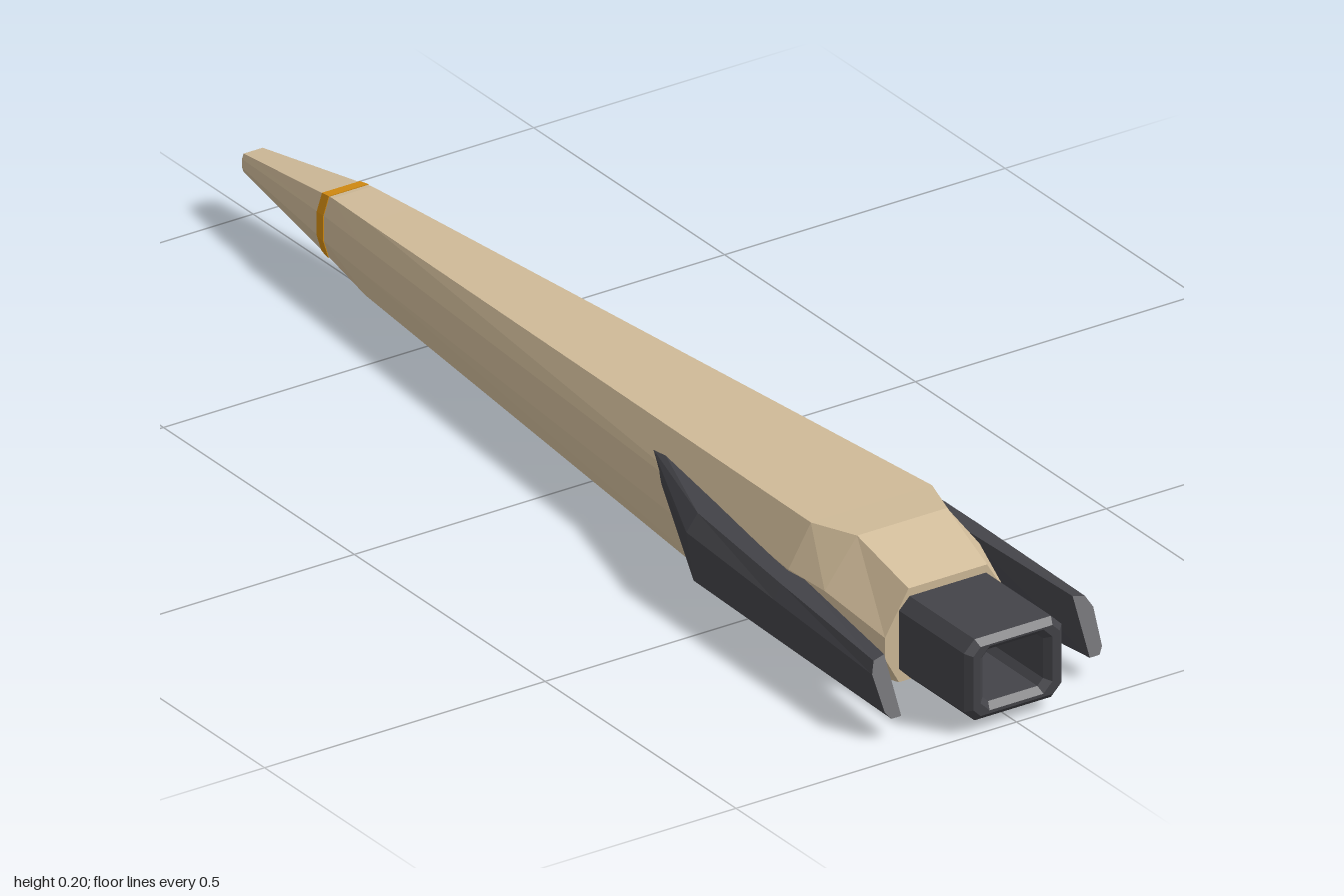
import * as THREE from 'three';

const tan = new THREE.MeshStandardMaterial({ color: 0xd0bb99 });
tan.name = 'sand hull';
const dark = new THREE.MeshStandardMaterial({ color: 0x434348 });
dark.name = 'dark metal';
const orange = new THREE.MeshStandardMaterial({ color: 0xd48c12 });
orange.name = 'orange band';

// Faceted loft through sections, each anticlockwise seen from +z, ordered by rising z
function loft(sections, caps = true) {
  const pos = [];
  const tri = (a, b, c) => pos.push(...a, ...b, ...c);
  const n = sections[0].length;
  for (let i = 0; i < sections.length - 1; i++) {
    const s = sections[i], t = sections[i + 1];
    for (let j = 0; j < n; j++) {
      const k = (j + 1) % n;
      tri(s[j], s[k], t[k]);
      tri(s[j], t[k], t[j]);
    }
  }
  if (caps) {
    const first = sections[0], last = sections[sections.length - 1];
    for (let j = 1; j < n - 1; j++) {
      tri(first[0], first[j + 1], first[j]);
      tri(last[0], last[j], last[j + 1]);
    }
  }
  const g = new THREE.BufferGeometry();
  g.setAttribute('position', new THREE.Float32BufferAttribute(pos, 3));
  g.computeVertexNormals();
  return g;
}

// Eight-sided hull section: top, side and bottom half widths with their heights
function hullSection([z, top, yTop, side, yUpper, yLower, bottom, yBottom]) {
  const half = [[bottom, yBottom], [side, yLower], [side, yUpper], [top, yTop]];
  return [
    ...half.map(([x, y]) => [x, y, z]),
    ...half.slice().reverse().map(([x, y]) => [-x, y, z]),
  ];
}

// Fin section: inner and outer x, top and bottom y, z shifted toward the bottom by lean
function finSection([z, xi, xo, yt, yb, lean], mirror) {
  const w = xo - xi, h = yt - yb;
  const pts = [
    [xi, yb], [xo - w * 0.4, yb], [xo - w * 0.12, yb + h * 0.12],
    [xo, yt - h * 0.25], [xo - w * 0.3, yt - h * 0.05], [xi, yt],
  ].map(([x, y]) => [mirror ? -x : x, y, z + lean * (yt - y) / h]);
  return mirror ? pts.reverse() : pts;
}

// Rectangle with cut corners
function cutRect(path, hw, y0, y1, c) {
  path.moveTo(-hw + c, y0);
  path.lineTo(hw - c, y0);
  path.lineTo(hw, y0 + c);
  path.lineTo(hw, y1 - c);
  path.lineTo(hw - c, y1);
  path.lineTo(-hw + c, y1);
  path.lineTo(-hw, y1 - c);
  path.lineTo(-hw, y0 + c);
  path.closePath();
  return path;
}

export function createModel() {
  const model = new THREE.Group();
  const add = (name, geometry, material) => {
    const mesh = new THREE.Mesh(geometry, material);
    mesh.name = name;
    model.add(mesh);
  };

  // Long tapered hull
  const stations = [
    [-1, 0.017, 0.105, 0.02, 0.097, 0.083, 0.017, 0.075],
    [-0.74, 0.035, 0.145, 0.045, 0.115, 0.073, 0.036, 0.043],
    [-0.64, 0.041, 0.149, 0.053, 0.117, 0.072, 0.045, 0.03],
    [0.62, 0.108, 0.201, 0.148, 0.135, 0.075, 0.138, 0.006],
    [0.7, 0.08, 0.205, 0.138, 0.13, 0.07, 0.11, 0],
    [0.82, 0.07, 0.165, 0.112, 0.095, 0.06, 0.087, 0.015],
  ];
  add('hull', loft(stations.map(hullSection)), tan);

  // Painted band round the nose, just proud of the hull
  const band = [-0.77, -0.75].map((z) => {
    const f = (z + 1) / 0.26;
    const s = stations[0].map((v, i) => v + (stations[1][i] - v) * f);
    return hullSection(s).map(([x, y]) => [x * 1.025, 0.092 + (y - 0.092) * 1.025, z]);
  });
  add('noseBand', loft(band), orange);

  // Square tail nozzle with an open, bevelled mouth
  const bevel = 0.01;
  const outline = cutRect(new THREE.Shape(), 0.087 - bevel, 0.018 + bevel, 0.152 - bevel, 0.013);
  outline.holes.push(cutRect(new THREE.Path(), 0.054 + bevel, 0.043 - bevel, 0.129 + bevel, 0.016));
  const nozzle = new THREE.ExtrudeGeometry(outline, {
    depth: 0.19, bevelEnabled: true, bevelSize: bevel, bevelThickness: bevel, bevelSegments: 1,
  });
  nozzle.translate(0, 0, 0.8);
  add('nozzle', nozzle, dark);

  // Side fins that grow out of the hull and run free at the back
  const fin = [
    [0.2, 0.095, 0.112, 0.155, 0.02, 0.09],
    [0.4, 0.11, 0.182, 0.146, 0.02, 0.01],
    [0.64, 0.142, 0.19, 0.133, 0.027, 0.02],
    [0.9, 0.168, 0.197, 0.118, 0.035, 0.045],
  ];
  add('leftFin', loft(fin.map((s) => finSection(s, false))), dark);
  add('rightFin', loft(fin.map((s) => finSection(s, true))), dark);

  return model;
}
